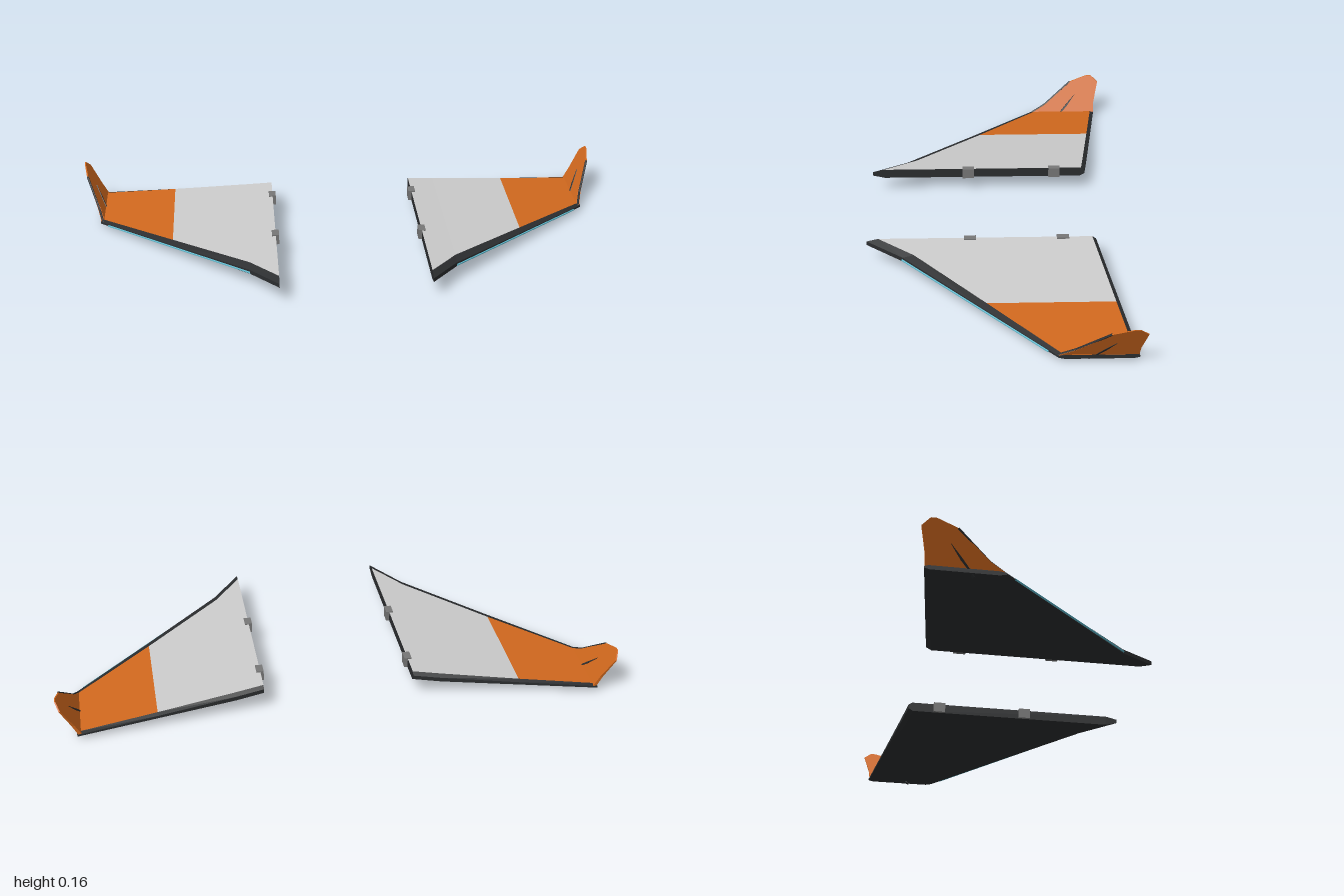
import * as THREE from 'three';

const paint = (color) => new THREE.MeshStandardMaterial({ color, flatShading: true, side: THREE.DoubleSide });
const DARK = paint(0x2b2d2f), GREY = paint(0xcccccc), ORANGE = paint(0xd2691e),
  STEEL = paint(0x777777), CYAN = paint(0x5fb8cc);

const lerp = THREE.MathUtils.lerp;

// wing stations: span x, leading z, trailing z, top y, bottom y, nose strip width
const STATIONS = [
  [0.27, 0.467, -0.36, 0.088, 0.053, 0.042],
  [0.37, 0.335, -0.374, 0.077, 0.041, 0.04],
  [0.65, 0.075, -0.412, 0.049, 0.026, 0.032],
  [0.932, -0.185, -0.45, 0.024, 0.009, 0.02],
];

// edge band and underside, counter-clockwise seen from +x
function hullSection([x, front, back, top, bottom, strip]) {
  const y = (t) => lerp(bottom, top, t);
  return [
    [x, top, front - strip], [x, y(0.72), front], [x, y(0.3), front], [x, bottom, front - strip * 1.1],
    [x, bottom, back + 0.018], [x, y(0.3), back], [x, y(0.72), back], [x, top, back + 0.014],
  ];
}

// top skin, from rear to front
function skinSection(station) {
  const s = hullSection(station);
  return [s[7], s[0]];
}

// joins open cross-sections along x, with optional end caps
function loft(sections, caps) {
  const pos = [];
  const tri = (...points) => points.forEach((p) => pos.push(...p));
  for (let k = 0; k < sections.length - 1; k++) {
    const a = sections[k], b = sections[k + 1];
    for (let i = 0; i < a.length - 1; i++) {
      tri(a[i], a[i + 1], b[i + 1]);
      tri(a[i], b[i + 1], b[i]);
    }
  }
  if (caps) {
    const first = sections[0], last = sections[sections.length - 1];
    for (let i = 1; i < first.length - 1; i++) {
      tri(first[0], first[i + 1], first[i]);
      tri(last[0], last[i], last[i + 1]);
    }
  }
  const geometry = new THREE.BufferGeometry();
  geometry.setAttribute('position', new THREE.Float32BufferAttribute(pos, 3));
  geometry.computeVertexNormals();
  return geometry;
}

// outward lean of the winglet at height y
const lean = (y) => 0.922 + (y - 0.02) * 0.54;

// plate with a [z, y] outline, leaning outwards and thinning upwards
function leaningPlate(outline, baseThickness, topThickness) {
  const shape = new THREE.Shape(outline.map(([z, y]) => new THREE.Vector2(-z, y)));
  const geometry = new THREE.ExtrudeGeometry(shape, { depth: 1, bevelEnabled: false });
  geometry.rotateY(Math.PI / 2);
  const p = geometry.attributes.position;
  for (let i = 0; i < p.count; i++) {
    const y = p.getY(i);
    const thickness = lerp(baseThickness, topThickness, y / 0.16);
    p.setX(i, lean(y) + (p.getX(i) - 0.5) * thickness);
  }
  geometry.computeVertexNormals();
  return geometry;
}

function buildWing() {
  const wing = new THREE.Group();
  const add = (name, geometry, material) => {
    const mesh = new THREE.Mesh(geometry, material);
    mesh.name = name;
    wing.add(mesh);
    return mesh;
  };

  // main panel
  add('wingHull', loft(STATIONS.map(hullSection), true), DARK);
  add('innerSkin', loft(STATIONS.slice(0, 3).map(skinSection)), GREY);
  add('outerSkin', loft(STATIONS.slice(2).map(skinSection)), ORANGE);

  // light strip along the leading edge
  const strip = new THREE.LineCurve3(new THREE.Vector3(0.37, 0.058, 0.338), new THREE.Vector3(0.9, 0.018, -0.153));
  add('leadingEdgeLight', new THREE.TubeGeometry(strip, 1, 0.0035, 6), CYAN);

  // winglet
  const edge = [[-0.18, 0.018], [-0.24, 0.05], [-0.295, 0.093], [-0.35, 0.136], [-0.42, 0.159]];
  const outline = [[-0.447, 0.015], [-0.45, 0.06], [-0.468, 0.135], [-0.44, 0.159], ...edge.slice().reverse()];
  add('winglet', leaningPlate(outline.reverse(), 0.014, 0.004), ORANGE);

  // dark bead on the winglet's front edge
  const bead = new THREE.CurvePath();
  const points = edge.slice(0, 4).map(([z, y]) => new THREE.Vector3(lean(y), y, z));
  for (let i = 0; i < points.length - 1; i++) bead.add(new THREE.LineCurve3(points[i], points[i + 1]));
  add('wingletEdge', new THREE.TubeGeometry(bead, 12, 0.004, 6), DARK);

  // slim diagonal blade through the winglet
  const blade = [[-0.283, 0], [-0.29, 0.002], [-0.335, 0.046], [-0.37, 0.09], [-0.325, 0.046]];
  add('wingletBlade', leaningPlate(blade, 0.018, 0.012), DARK);

  // root hinges
  for (const z of [0.095, -0.24]) {
    add('rootHinge', new THREE.BoxGeometry(0.026, 0.038, 0.044), STEEL).position.set(0.271, 0.072, z);
  }
  return wing;
}

export function createModel() {
  const model = new THREE.Group();
  const left = buildWing();
  left.name = 'leftWing';
  const right = buildWing();
  right.name = 'rightWing';
  right.scale.x = -1;
  model.add(left, right);
  return model;
}
